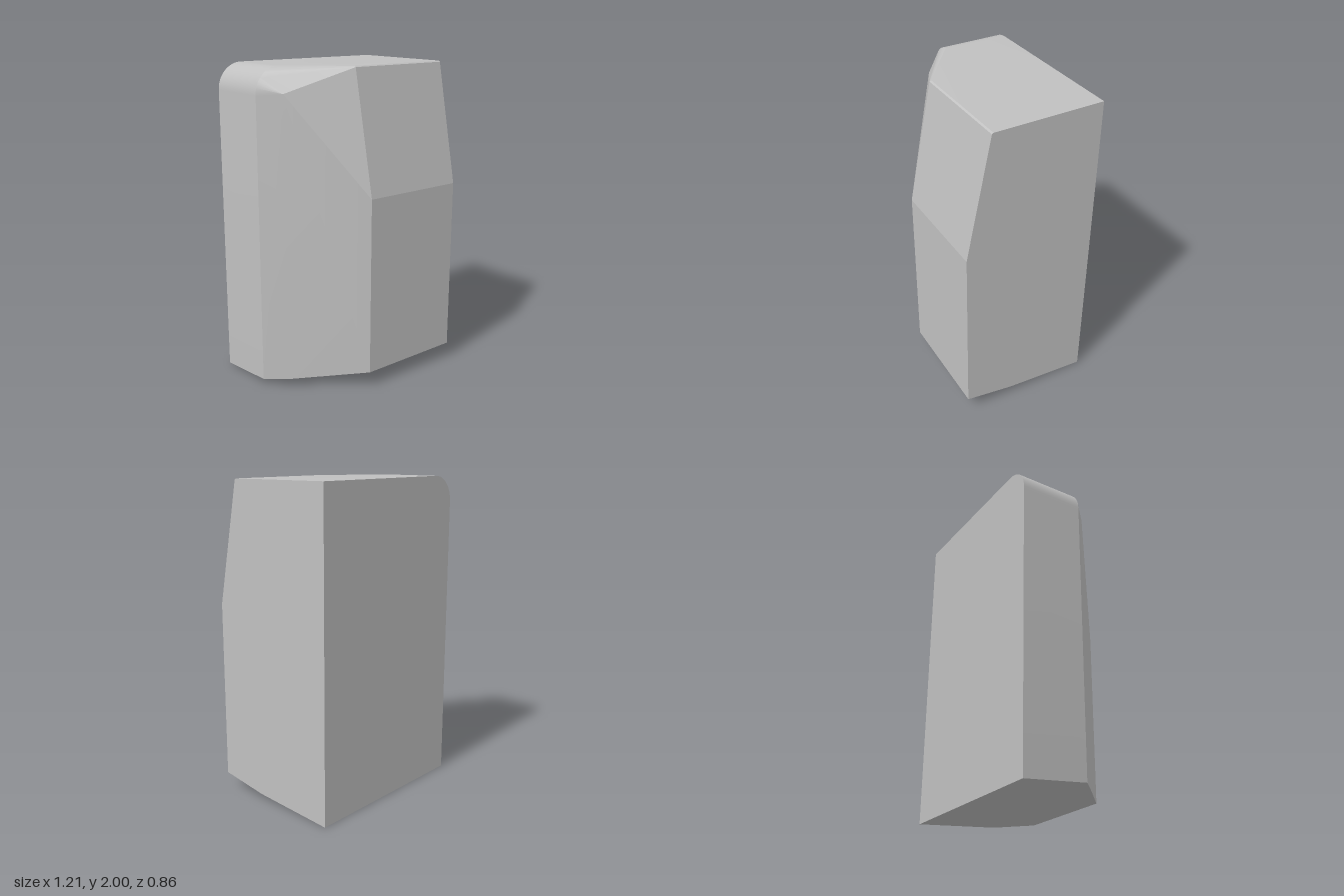
import * as THREE from 'three';
import { ConvexGeometry } from 'three/addons/geometries/ConvexGeometry.js';
import { toCreasedNormals } from 'three/addons/utils/BufferGeometryUtils.js';

export function createModel() {
  const group = new THREE.Group();
  group.name = 'block';
  const grey = new THREE.MeshStandardMaterial({ color: 0xc0c0c0 });
  grey.name = 'plain grey';

  const W = 0.605, BACK = -0.43, FRONT = 0.43, CORNER = -0.1;
  const points = [];
  const add = (x, y, z) => points.push(new THREE.Vector3(x, y, z));

  // Straight front: the same profile at the flat side and at the chamfer
  for (const x of [W, CORNER]) {
    add(x, 0.1, FRONT);
    add(x, 1.225, FRONT);
    add(x, 1.99, 0.275);
    add(x, 1.997, 0.265);
  }

  // Back corners and the sloping underside
  add(W, 0, BACK);
  add(W, 2, BACK);
  add(W, 0.045, 0.11);
  add(-W, 0, BACK);
  add(-W, 0.04, -0.02);

  // Chamfered wall between side and front
  add(-0.49, 0.045, 0.09);
  add(-0.49, 1.845, 0.09);

  // Rounded upper edge, fanning into the front corner
  const R = 0.165, STEPS = 12;
  for (let i = 0; i <= STEPS; i++) {
    const a = (i / STEPS) * Math.PI / 2;
    const x = -W + R * (1 - Math.cos(a)), y = 2 - R + R * Math.sin(a);
    add(x, y, BACK);
    add(x, y, -0.02);
  }

  const body = new THREE.Mesh(toCreasedNormals(new ConvexGeometry(points), 0.17), grey);
  body.name = 'body';
  group.add(body);
  return group;
}
